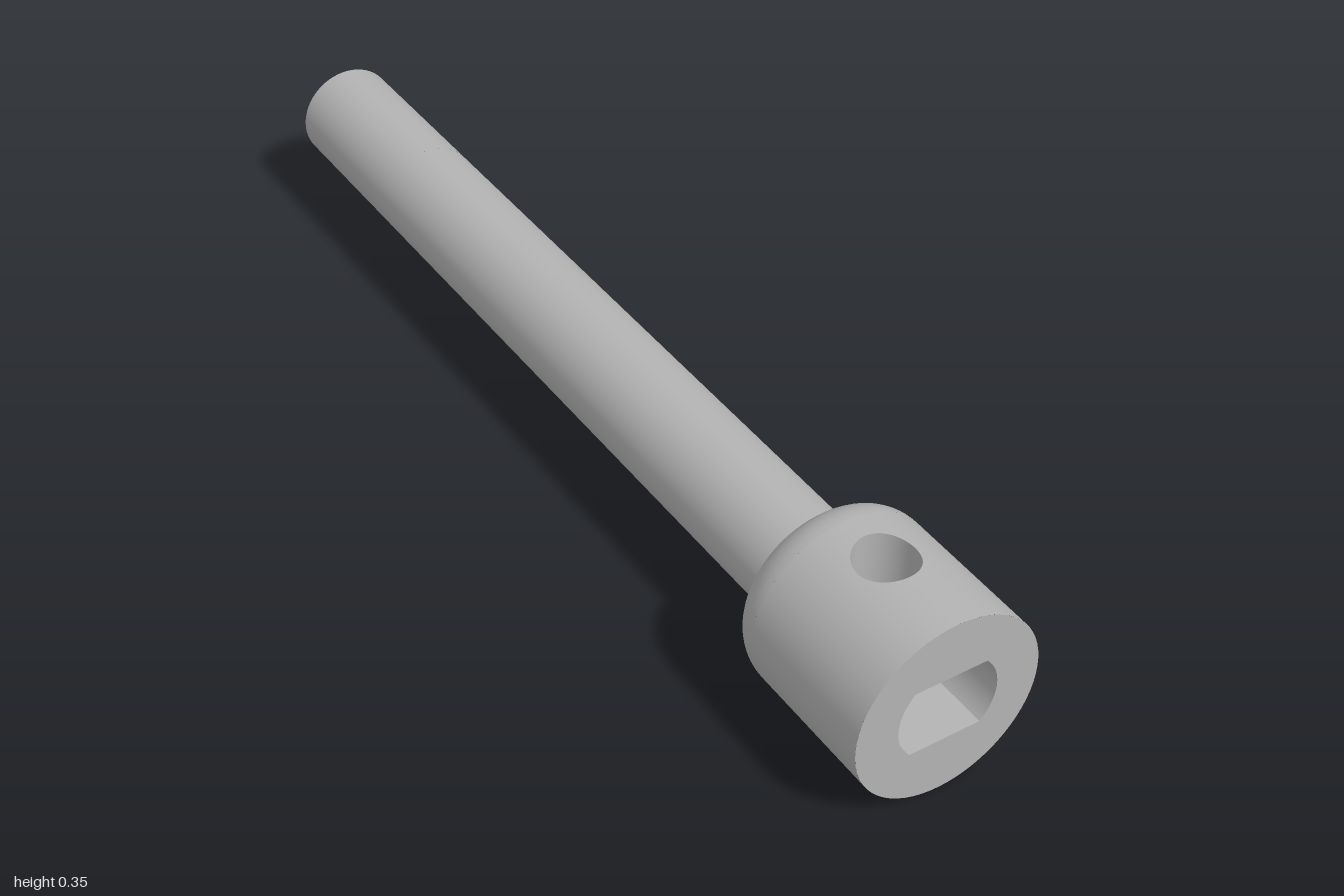
import * as THREE from 'three';
import { ParametricGeometry } from 'three/addons/geometries/ParametricGeometry.js';

const HEAD_R = 0.174, SHAFT_R = 0.098, SHOULDER_Z = 0.65, FILLET = SHAFT_R - HEAD_R;
const BORE_R = 0.094, BORE_FLAT = 0.065, BORE_END = 0.7;
const TAU = Math.PI * 2;

export function createModel() {
  const steel = new THREE.MeshStandardMaterial({ color: 0xb3b3b3 });
  steel.name = 'steel';

  const add = (parent, name, geometry) => {
    const mesh = new THREE.Mesh(geometry, steel);
    mesh.name = name;
    parent.add(mesh);
    return mesh;
  };

  // Cylinder wall about z, angle from +y towards +x; faces outward when zA > zB, inward otherwise
  const arc = (r, t0, t1, zA, zB) => new ParametricGeometry((u, v, p) => {
    const t = t0 + (t1 - t0) * u;
    p.set(r * Math.sin(t), r * Math.cos(t), zA + (zB - zA) * v);
  }, 64, 1);

  // Cylinder section z0..z1 with a round cross hole drilled in from +y down to a given height
  const drilledSection = (parent, name, r, z0, z1, halfAngle, hole) => {
    add(parent, name + 'Wall', arc(r, halfAngle, TAU - halfAngle, z1, z0));
    // Patch that blends from the hole rim to a rectangle on the cylinder
    add(parent, name + 'HoleSurround', new ParametricGeometry((u, v, p) => {
      const c = Math.cos(u * TAU), s = Math.sin(u * TAU), m = Math.max(Math.abs(c), Math.abs(s));
      const rimT = Math.asin(hole.r * c / r), rimZ = hole.z + hole.r * s;
      const edgeT = halfAngle * c / m;
      const edgeZ = hole.z + s / m * (s > 0 ? z1 - hole.z : hole.z - z0);
      const t = rimT + (edgeT - rimT) * v;
      p.set(r * Math.sin(t), r * Math.cos(t), rimZ + (edgeZ - rimZ) * v);
    }, 64, 6));
    add(parent, name + 'HoleWall', new ParametricGeometry((u, v, p) => {
      const x = hole.r * Math.cos(u * TAU), top = Math.sqrt(r * r - x * x);
      p.set(x, hole.bottom + (top - hole.bottom) * v, hole.z + hole.r * Math.sin(u * TAU));
    }, 64, 1));
  };

  const model = new THREE.Group();
  model.name = 'socketWrench';

  // Socket head
  const head = new THREE.Group();
  head.name = 'socketHead';
  head.position.y = HEAD_R;
  model.add(head);
  const filletR = -FILLET, filletTop = SHOULDER_Z + filletR;
  const screwHole = { r: 0.055, z: 0.825, bottom: BORE_FLAT };
  drilledSection(head, 'head', HEAD_R, filletTop, 1, 0.6, screwHole);

  // Rounded shoulder
  const profile = [];
  for (let i = 0; i <= 12; i++) {
    const a = i / 12 * Math.PI / 2;
    profile.push(new THREE.Vector2(SHAFT_R + filletR * Math.sin(a), filletTop - filletR * Math.cos(a)));
  }
  add(head, 'roundedShoulder', new THREE.LatheGeometry(profile, 64).rotateX(Math.PI / 2));

  // Front face with the double-flat bore opening
  const corner = Math.asin(BORE_FLAT / BORE_R);
  const boreOutline = (path) => {
    path.absarc(0, 0, BORE_R, -corner, corner, false);
    path.absarc(0, 0, BORE_R, Math.PI - corner, Math.PI + corner, false);
    path.closePath();
    return path;
  };
  const face = new THREE.Shape().absarc(0, 0, HEAD_R, 0, TAU, false);
  face.holes.push(boreOutline(new THREE.Path()));
  add(head, 'frontFace', new THREE.ShapeGeometry(face, 32)).position.z = 1;
  add(head, 'boreEnd', new THREE.ShapeGeometry(boreOutline(new THREE.Shape()), 24)).position.z = BORE_END;

  // Bore walls: two curved sides, a lower flat and an upper flat pierced by the screw hole
  const t = Math.PI / 2 - corner, flatHalf = BORE_R * Math.cos(corner);
  for (const start of [t, Math.PI + t]) {
    add(head, 'boreSide', arc(BORE_R, start, start + 2 * corner, BORE_END, 1));
  }
  const lower = add(head, 'boreLowerFlat',
    new THREE.PlaneGeometry(2 * flatHalf, 1 - BORE_END).rotateX(-Math.PI / 2));
  lower.position.set(0, -BORE_FLAT, (1 + BORE_END) / 2);
  const upper = new THREE.Shape([[-1, BORE_END], [1, BORE_END], [1, 1], [-1, 1]]
    .map(([s, z]) => new THREE.Vector2(s * flatHalf, z)));
  upper.holes.push(new THREE.Path().absarc(0, screwHole.z, screwHole.r, 0, TAU, true));
  add(head, 'boreUpperFlat', new THREE.ShapeGeometry(upper, 32).rotateX(Math.PI / 2)).position.y = BORE_FLAT;

  // Shaft, turned over so its two blind holes open downward
  const shaft = new THREE.Group();
  shaft.name = 'shaft';
  shaft.position.y = HEAD_R;
  shaft.rotation.z = Math.PI;
  model.add(shaft);
  add(shaft, 'shaftWall', arc(SHAFT_R, 0, TAU, SHOULDER_Z, -0.65));
  for (const [z, z0, z1] of [[-0.735, -0.825, -0.65], [-0.91, -1, -0.825]]) {
    const hole = { r: 0.053, z, bottom: 0 };
    drilledSection(shaft, 'shaftEnd', SHAFT_R, z0, z1, 0.95, hole);
    add(shaft, 'blindHoleFloor', new THREE.CircleGeometry(hole.r, 48).rotateX(-Math.PI / 2)).position.z = z;
  }
  add(shaft, 'shaftEndCap', new THREE.CircleGeometry(SHAFT_R, 64).rotateY(Math.PI)).position.z = -1;

  return model;
}
